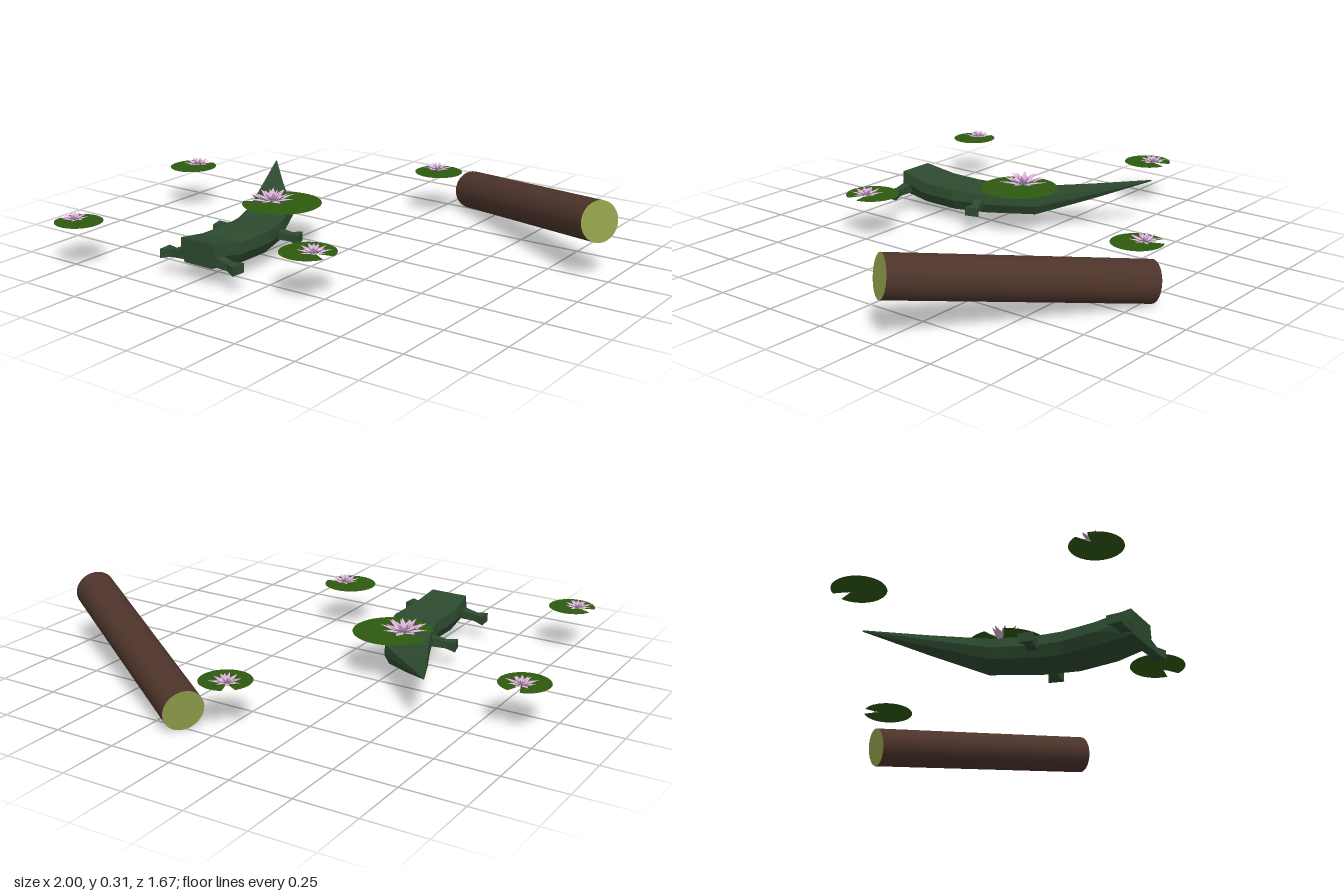
import * as THREE from 'three';
import { mergeGeometries } from 'three/addons/utils/BufferGeometryUtils.js';

const V = (x, y, z) => new THREE.Vector3(x, y, z);
const mat = (color, extra = {}) => new THREE.MeshStandardMaterial({ color, ...extra });

const skin = mat(0x2d4a2f, { flatShading: true });
const bark = mat(0x4d342b);
const cutWood = mat(0x93a24c);
const leaf = mat(0x2e5a10, { side: THREE.DoubleSide });
const pink = mat(0xdcb2dc, { side: THREE.DoubleSide, flatShading: true });

function addMesh(parent, name, geometry, material) {
  const mesh = new THREE.Mesh(geometry, material);
  mesh.name = name;
  parent.add(mesh);
  return mesh;
}

// Skin between rings of equal point count, with both ends capped
function loft(rings) {
  const n = rings[0].length, index = [];
  for (let i = 0; i < rings.length - 1; i++) {
    for (let j = 0; j < n; j++) {
      const a = i * n + j, b = i * n + (j + 1) % n;
      index.push(a, b, b + n, a, b + n, a + n);
    }
  }
  const end = (rings.length - 1) * n;
  for (let j = 1; j < n - 1; j++) {
    index.push(0, j + 1, j, end, end + j, end + j + 1);
  }
  const geo = new THREE.BufferGeometry().setFromPoints(rings.flat());
  geo.setIndex(index);
  geo.computeVertexNormals();
  return geo;
}

// Ring across a horizontal heading; profile is [sideways, 0..1 height] pairs
function ring(x, z, heading, half, low, high, profile) {
  const sx = heading.z, sz = -heading.x;
  return profile.map(([u, t]) => V(x + sx * u * half, low + (high - low) * t, z + sz * u * half));
}

const bodyProfile = [[-0.78, 0], [0.78, 0], [1, 0.5], [0.94, 1], [-0.94, 1], [-1, 0.5]];
const boxProfile = [[-1, 0], [1, 0], [1, 1], [-1, 1]];

function buildReptile() {
  const group = new THREE.Group();
  group.name = 'reptile';
  // x, z, heading x, heading z, half width, low, high: tail tip to front
  const stations = [
    [-0.605, -0.31, 0.5, 0.86, 0.002, 0.196, 0.2],
    [-0.465, -0.11, 0.56, 0.83, 0.046, 0.125, 0.167],
    [-0.33, 0.075, 0.55, 0.83, 0.088, 0.066, 0.142],
    [-0.25, 0.24, 0.3, 0.95, 0.096, 0.062, 0.142],
    [-0.217, 0.36, 0.08, 1, 0.1, 0.06, 0.145],
    [-0.22, 0.51, 0, 1, 0.1, 0.06, 0.145],
    [-0.22, 0.645, 0, 1, 0.083, 0.075, 0.17],
  ];
  const rings = stations.map(([x, z, hx, hz, half, low, high]) =>
    ring(x, z, V(hx, 0, hz).normalize(), half, low, high, bodyProfile));
  addMesh(group, 'bodyAndTail', loft(rings), skin);

  // Legs run from hip to a flared foot
  const legs = [
    ['frontLeftLeg', -0.16, 0.62, -0.042, 0.628],
    ['frontRightLeg', -0.28, 0.62, -0.398, 0.628],
    ['backLeftLeg', -0.18, 0.25, -0.078, 0.215],
    ['backRightLeg', -0.32, 0.26, -0.435, 0.292],
  ];
  for (const [name, x0, z0, x1, z1] of legs) {
    const heading = V(x1 - x0, 0, z1 - z0).normalize();
    const at = (t, half, low, high) =>
      ring(x0 + (x1 - x0) * t, z0 + (z1 - z0) * t, heading, half, low, high, boxProfile);
    addMesh(group, name, loft([
      at(0, 0.022, 0.085, 0.125), at(0.65, 0.016, 0.08, 0.108), at(1, 0.03, 0.072, 0.108),
    ]), skin);
  }
  return group;
}

function buildLog() {
  const group = new THREE.Group();
  group.name = 'log';
  const low = V(0.11, 0.081, -0.77), high = V(0.955, 0.23, -0.245);
  const axis = high.clone().sub(low), length = axis.length(), r = 0.08;
  addMesh(group, 'bark', new THREE.CylinderGeometry(r, r, length, 32, 1, true), bark);
  for (const s of [1, -1]) {
    const cap = addMesh(group, s > 0 ? 'upperCut' : 'lowerCut', new THREE.CircleGeometry(r, 32), cutWood);
    cap.position.y = s * length / 2;
    cap.rotation.x = -s * Math.PI / 2;
  }
  group.position.copy(low).add(high).multiplyScalar(0.5);
  group.quaternion.setFromUnitVectors(V(0, 1, 0), axis.normalize());
  return group;
}

// Flat round leaf of radius 1 with a wedge notch towards +x
function padGeometry() {
  const shape = new THREE.Shape();
  const a = 0.24;
  shape.moveTo(0.35, 0);
  shape.lineTo(Math.cos(a), Math.sin(a));
  shape.absarc(0, 0, 1, a, Math.PI * 2 - a, false);
  shape.closePath();
  return new THREE.ShapeGeometry(shape, 24).rotateX(-Math.PI / 2);
}

// Creased pointed petal along +x
function petalGeometry(length, width, rise) {
  const base = [0.03, 0, 0], tip = [length, rise, 0];
  const mid = [length * 0.5, rise * 0.3, 0];
  const left = [length * 0.48, rise * 0.5, -width], right = [length * 0.48, rise * 0.5, width];
  const tris = [base, mid, left, left, mid, tip, base, right, mid, mid, right, tip];
  const geo = new THREE.BufferGeometry();
  geo.setAttribute('position', new THREE.Float32BufferAttribute(tris.flat(), 3));
  geo.computeVertexNormals();
  return geo;
}

function flowerGeometry() {
  const petals = [];
  // count, length, half width, rise, turn
  const layers = [[8, 0.62, 0.1, 0.13, 0], [8, 0.45, 0.085, 0.22, 0.39], [6, 0.22, 0.06, 0.27, 0.2]];
  for (const [count, length, width, rise, turn] of layers) {
    for (let i = 0; i < count; i++) {
      const vary = 1 + 0.08 * Math.sin(i * 2.4);
      petals.push(petalGeometry(length * vary, width, rise)
        .rotateY(turn + i / count * Math.PI * 2));
    }
  }
  return mergeGeometries(petals);
}

export function createModel() {
  const model = new THREE.Group();
  model.name = 'pond';
  model.add(buildReptile(), buildLog());

  // Lily pads: x, z, radius, notch direction
  const pads = [
    [0.015, -0.643, 0.1, 2.3],
    [-0.9, -0.102, 0.098, 1.57],
    [-0.25, 0.105, 0.158, 3.35],
    [0.188, 0.515, 0.107, -0.15],
    [-0.733, 0.74, 0.093, 3.05],
  ];
  const padGeo = padGeometry(), flowerGeo = flowerGeometry();
  for (const [x, z, radius, turn] of pads) {
    const lily = new THREE.Group();
    lily.name = 'waterLily';
    addMesh(lily, 'lilyPad', padGeo, leaf);
    const flower = addMesh(lily, 'flower', flowerGeo, pink);
    flower.position.set(0.28, 0.01, 0);
    lily.position.set(x, 0.175, z);
    lily.rotation.y = turn;
    lily.scale.setScalar(radius);
    model.add(lily);
  }
  return model;
}
